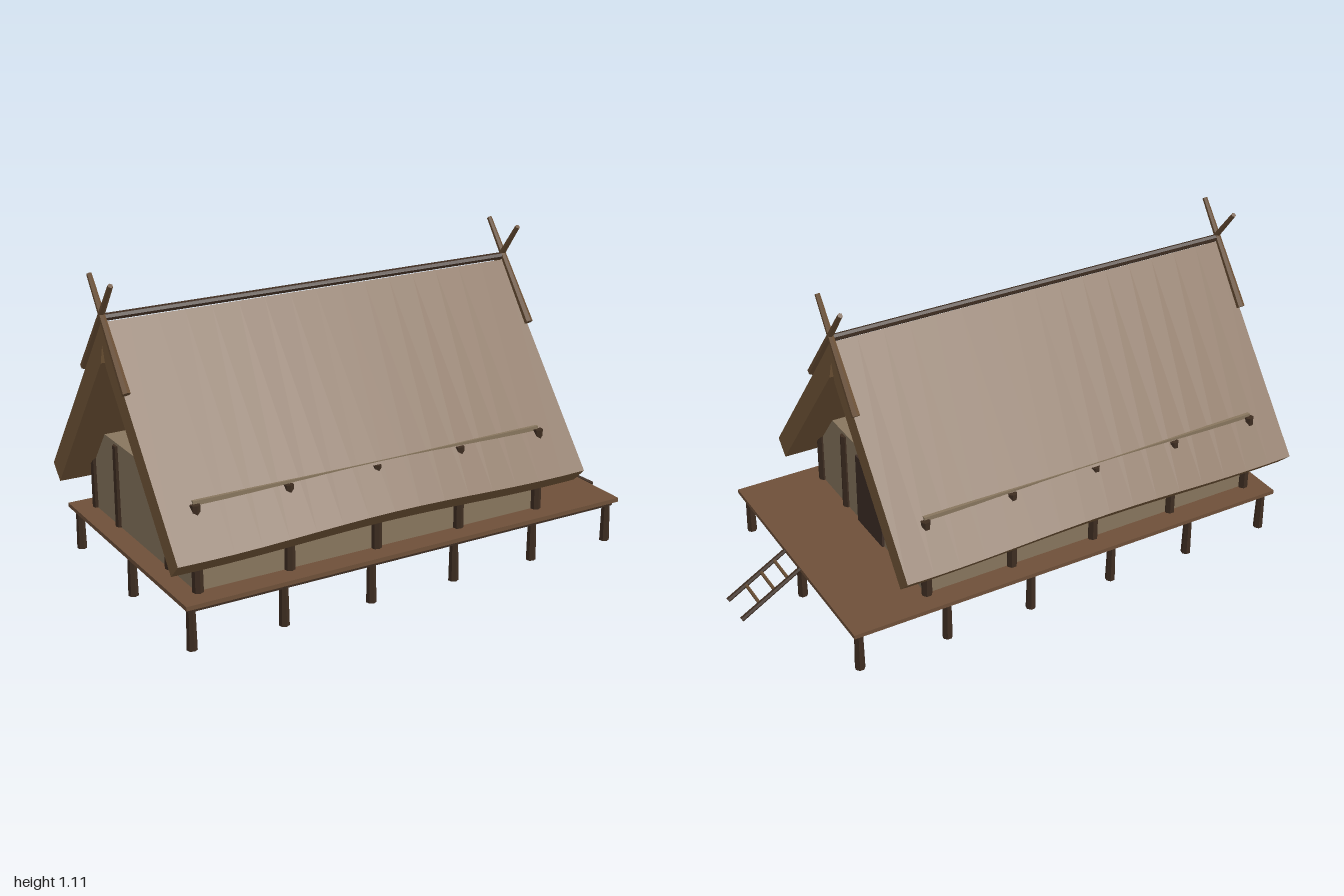
import * as THREE from 'three';

const mat = (name, color, opts = {}) => {
  const m = new THREE.MeshStandardMaterial({ color, flatShading: true, ...opts });
  m.name = name;
  return m;
};

export function createModel() {
  const thatch = mat('thatch', 0x755839);
  const plank = mat('plank', 0x6e5039);
  const plaster = mat('plaster', 0x88765e);
  const darkWood = mat('darkWood', 0x3e2d21);
  const doorWood = mat('doorWood', 0x3f2f27);
  const paleWood = mat('paleWood', 0x6a4f35);

  const model = new THREE.Group();
  model.name = 'stiltLonghouse';

  const add = (name, geometry, material) => {
    const mesh = new THREE.Mesh(geometry, material);
    mesh.name = name;
    model.add(mesh);
    return mesh;
  };
  // Box given by its minimum and maximum corners
  const box = (name, a, b, material) => {
    const mesh = add(name, new THREE.BoxGeometry(b[0] - a[0], b[1] - a[1], b[2] - a[2]), material);
    mesh.position.set((a[0] + b[0]) / 2, (a[1] + b[1]) / 2, (a[2] + b[2]) / 2);
    return mesh;
  };
  // Round pole between two points, tapering from r0 to r1
  const pole = (name, a, b, r0, r1, material, sides = 7) => {
    const from = new THREE.Vector3(...a), to = new THREE.Vector3(...b);
    const dir = to.clone().sub(from);
    const mesh = add(name, new THREE.CylinderGeometry(r1, r0, dir.length(), sides), material);
    mesh.position.copy(from).add(to).multiplyScalar(0.5);
    mesh.quaternion.setFromUnitVectors(new THREE.Vector3(0, 1, 0), dir.normalize());
    return mesh;
  };

  // Platform with its stilts and bearer beams
  box('deck', [-0.95, 0.153, -0.49], [0.76, 0.168, 0.49], plank);
  for (const z of [-0.457, 0, 0.457]) {
    box('bearerBeam', [-0.935, 0.134, z - 0.011], [0.75, 0.153, z + 0.011], darkWood);
    for (let i = 0; i < 6; i++) {
      const x = -0.92 + i * 0.33;
      pole('stilt', [x, 0, z], [x, 0.153, z], 0.018, 0.015, darkWood);
    }
  }

  // House body and door
  box('walls', [-0.875, 0.168, -0.405], [0.452, 0.475, 0.405], plaster);
  box('door', [0.452, 0.168, -0.097], [0.461, 0.443, 0.097], doorWood);

  // Wall posts along both sides and across both ends
  const post = (x, z) => pole('wallPost', [x, 0.168, z], [x, 0.465, z], 0.019, 0.017, darkWood);
  for (let i = 0; i < 5; i++) for (const s of [-1, 1]) post(-0.87 + i * 0.33, s * 0.408);
  for (const x of [-0.87, 0.45]) for (const s of [-1, 1]) post(x, s * 0.202);

  // Thatched roof: a thick inverted V with gently waving eaves
  const half = [[0.517, 0.327], [0.463, 0.274], [0.02, 0.826]];
  const outline = [[0, 0.968], ...half, [0, 0.894],
    ...half.slice().reverse().map(([z, y]) => [-z, y])];
  const profile = new THREE.Shape(outline.map(([z, y]) => new THREE.Vector2(-z, y)));
  const roofGeo = new THREE.ExtrudeGeometry(profile, { depth: 1.56, steps: 16, bevelEnabled: false });
  roofGeo.rotateY(Math.PI / 2);
  roofGeo.translate(-0.985, 0, 0);
  const p = roofGeo.attributes.position;
  for (let i = 0; i < p.count; i++) {
    const wave = Math.cos((p.getX(i) + 0.2) * Math.PI / 0.65);
    p.setY(i, p.getY(i) + 0.008 * wave * Math.abs(p.getZ(i)) / 0.517);
  }
  roofGeo.computeVertexNormals();
  add('thatchRoof', roofGeo, thatch);

  // Ridge pole and crossed gable horns
  pole('ridgePole', [-0.985, 0.983, 0], [0.575, 0.983, 0], 0.013, 0.013, darkWood);
  for (const x of [-0.982, 0.573]) {
    for (const s of [-1, 1]) {
      pole('gableHorn', [x, 0.775, s * 0.171], [x, 1.107, -s * 0.087], 0.015, 0.009, paleWood, 6);
    }
  }

  // Ladder leaning on the deck edge
  const foot = [0.985, 0.03], top = [0.76, 0.163];
  for (const s of [-1, 1]) {
    pole('ladderRail', [...foot, s * 0.062], [...top, s * 0.062], 0.009, 0.008, darkWood, 6);
  }
  for (const t of [0.31, 0.57, 0.8]) {
    const x = foot[0] + (top[0] - foot[0]) * t, y = foot[1] + (top[1] - foot[1]) * t;
    pole('ladderRung', [x, y, -0.068], [x, y, 0.068], 0.006, 0.006, paleWood, 6);
  }

  return model;
}
